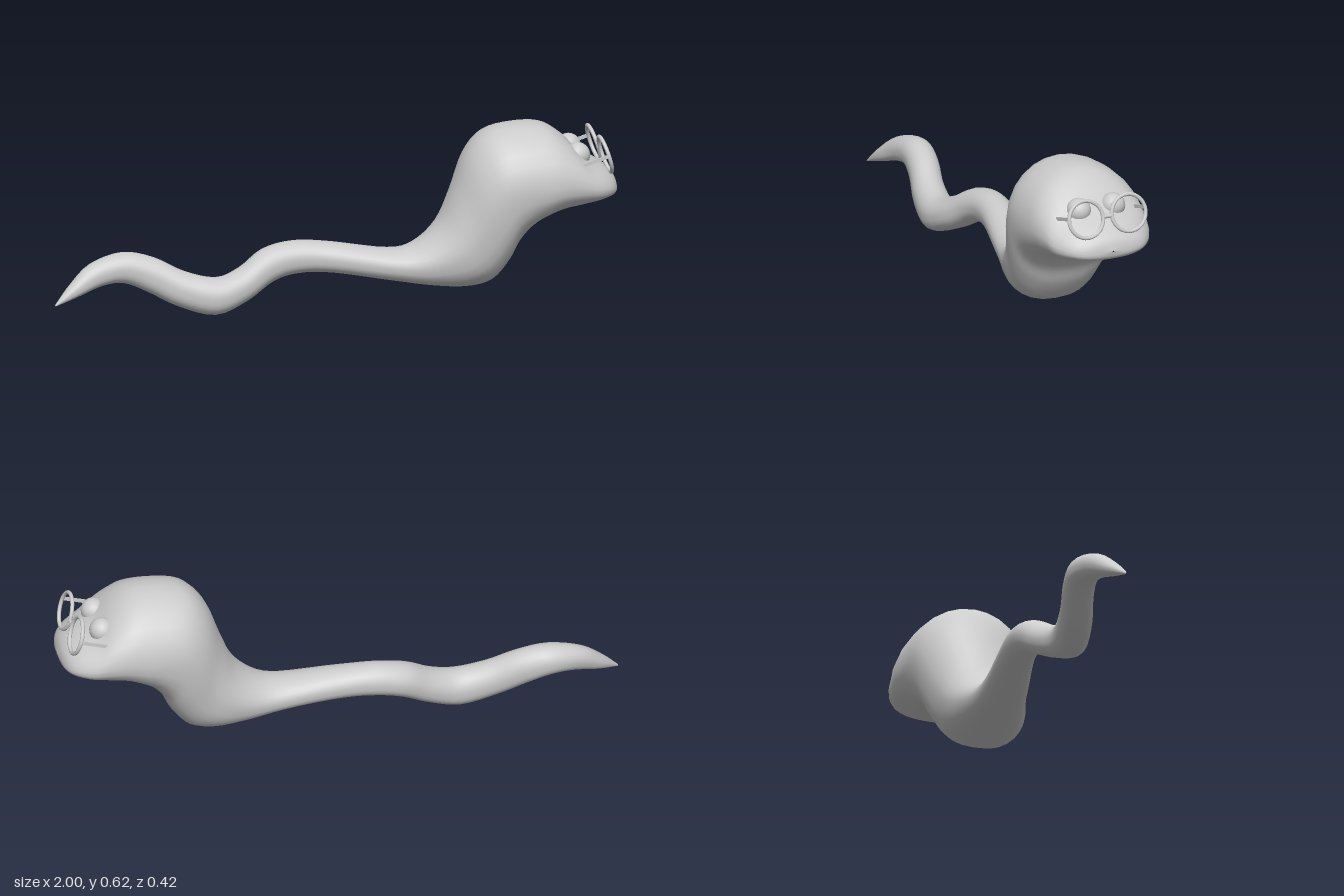
import * as THREE from 'three';

const { smoothstep } = THREE.MathUtils;
const material = new THREE.MeshStandardMaterial({ color: 0xcccccc });

// Body stations, tail to snout: top x, top y, bottom x, bottom y, half width
const STATIONS = [
  [-1, 0.073, -1, 0.067, 0.003],
  [-0.94, 0.135, -0.92, 0.09, 0.03],
  [-0.86, 0.198, -0.82, 0.12, 0.045],
  [-0.74, 0.23, -0.74, 0.122, 0.055],
  [-0.63, 0.208, -0.66, 0.09, 0.057],
  [-0.53, 0.16, -0.56, 0.04, 0.06],
  [-0.42, 0.135, -0.43, 0.005, 0.065],
  [-0.33, 0.16, -0.31, 0.045, 0.068],
  [-0.24, 0.213, -0.21, 0.1, 0.066],
  [-0.13, 0.235, -0.12, 0.121, 0.062],
  [0, 0.227, 0, 0.12, 0.066],
  [0.2, 0.2, 0.21, 0.088, 0.085],
  [0.29, 0.218, 0.34, 0.068, 0.112],
  [0.37, 0.29, 0.46, 0.06, 0.144],
  [0.42, 0.4, 0.55, 0.08, 0.165],
  [0.47, 0.53, 0.61, 0.15, 0.192],
  [0.54, 0.605, 0.645, 0.22, 0.207],
  [0.64, 0.627, 0.7, 0.28, 0.212],
  [0.74, 0.622, 0.78, 0.32, 0.21],
  [0.81, 0.58, 0.86, 0.337, 0.2],
  [0.87, 0.52, 0.92, 0.35, 0.185],
  [0.945, 0.475, 0.97, 0.362, 0.145],
  [0.985, 0.44, 0.993, 0.375, 0.09],
  [1, 0.402, 1, 0.398, 0.004],
];

function addMesh(parent, name, geometry, x = 0, y = 0, z = 0) {
  const mesh = new THREE.Mesh(geometry, material);
  mesh.name = name;
  mesh.position.set(x, y, z);
  parent.add(mesh);
  return mesh;
}

// Loft of tilted, rounded sections whose lower half is squarer than the upper half
function bodyGeometry() {
  const curve = (pick) => new THREE.CatmullRomCurve3(
    STATIONS.map((s) => new THREE.Vector3(...pick(s))), false, 'catmullrom', 0.5);
  const tops = curve((s) => [s[0], s[1], 0]);
  const bottoms = curve((s) => [s[2], s[3], 0]);
  const widths = curve((s) => [s[4], 0, 0]);
  const rings = (STATIONS.length - 1) * 4;
  const sides = 28;
  const positions = [];
  const indices = [];
  for (let i = 0; i <= rings; i++) {
    const top = tops.getPoint(i / rings);
    const bottom = bottoms.getPoint(i / rings);
    const halfWidth = Math.max(widths.getPoint(i / rings).x, 0.002);
    const middle = top.clone().lerp(bottom, 0.5);
    // The tail sways sideways as it rises, fading out toward the chest
    const sway = -0.6 * (middle.y - 0.05) * (1 - smoothstep(middle.x, -0.3, 0.5));
    // The head is widest below its middle
    const widest = 0.5 - 0.12 * smoothstep(middle.x, 0.56, 0.74);
    for (let j = 0; j < sides; j++) {
      const a = (j / sides) * Math.PI * 2;
      const c = Math.cos(a);
      const s = Math.sin(a);
      const power = c < 0 ? 0.8 : 1;
      const rise = Math.sign(c) * Math.abs(c) ** power;
      const p = bottom.clone().lerp(top, widest + rise * (c > 0 ? 1 - widest : widest));
      positions.push(p.x, p.y, sway + Math.sign(s) * Math.abs(s) ** power * halfWidth);
      if (i < rings) {
        const k = (j + 1) % sides;
        const m = i * sides;
        indices.push(m + j, m + k, m + sides + j, m + k, m + sides + k, m + sides + j);
      }
    }
  }
  const geometry = new THREE.BufferGeometry();
  geometry.setAttribute('position', new THREE.Float32BufferAttribute(positions, 3));
  geometry.setIndex(indices);
  geometry.computeVertexNormals();
  return geometry;
}

export function createModel() {
  const model = new THREE.Group();
  model.name = 'wormWithGlasses';
  addMesh(model, 'body', bodyGeometry());

  // Spectacles, tilted back on the snout
  const glasses = new THREE.Group();
  glasses.name = 'glasses';
  glasses.position.set(0.95, 0.514, 0);
  glasses.rotation.z = 0.29;
  model.add(glasses);

  for (const side of [1, -1]) {
    const label = side > 0 ? 'left' : 'right';
    addMesh(model, label + 'Eye', new THREE.SphereGeometry(0.044, 24, 16), 0.855, 0.514, side * 0.066);

    const rim = addMesh(glasses, label + 'Rim', new THREE.TorusGeometry(0.065, 0.007, 10, 36), 0, 0, side * 0.082);
    rim.rotation.y = Math.PI / 2;
    addMesh(glasses, label + 'Temple', new THREE.BoxGeometry(0.124, 0.012, 0.006), -0.062, 0.01, side * 0.149);
  }

  // Bridge joining the rims
  const bridge = addMesh(glasses, 'bridge', new THREE.CylinderGeometry(0.007, 0.007, 0.036, 10));
  bridge.rotation.x = Math.PI / 2;
  return model;
}
